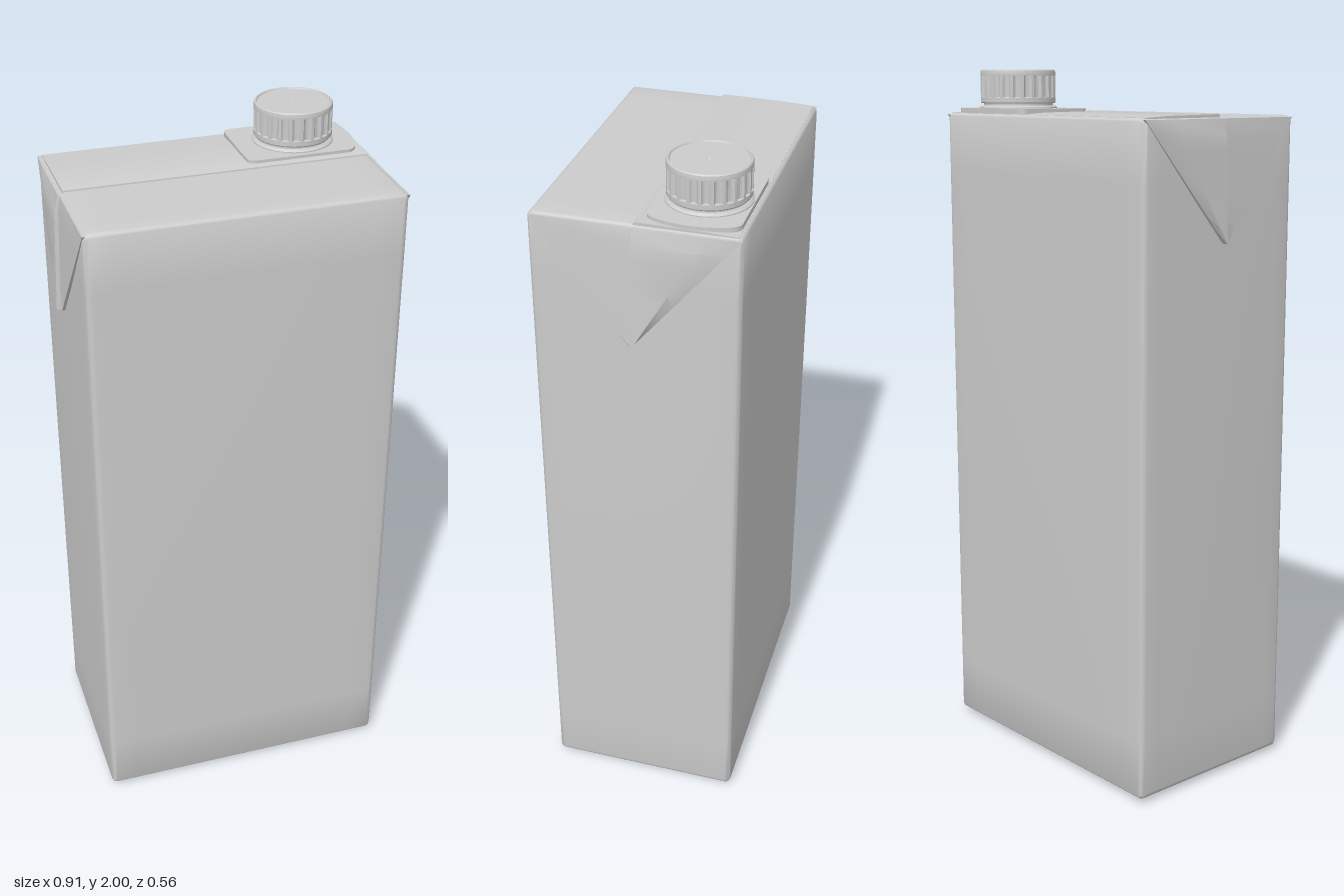
import * as THREE from 'three';
import { mergeVertices, toCreasedNormals } from 'three/addons/utils/BufferGeometryUtils.js';
import { ConvexGeometry } from 'three/addons/geometries/ConvexGeometry.js';

const HX = 0.43, HZ = 0.275, BOTTOM = 0.012, TOP = 1.878;
const CAP_X = 0.257, CAP_Z = -0.145;
const mat = new THREE.MeshStandardMaterial({ color: 0xcccccc, roughness: 0.7 });

function add(parent, name, geometry, x = 0, y = 0, z = 0) {
  const mesh = new THREE.Mesh(geometry, mat);
  mesh.name = name;
  mesh.position.set(x, y, z);
  parent.add(mesh);
  return mesh;
}

// Join closed rings of equal length into a solid with fan caps at both ends
function loft(rings, crease) {
  const n = rings[0].length, index = [];
  for (let r = 0; r < rings.length - 1; r++) {
    for (let i = 0; i < n; i++) {
      const a = r * n + i, b = r * n + (i + 1) % n;
      index.push(a, b, a + n, b, b + n, a + n);
    }
  }
  const last = (rings.length - 1) * n;
  for (let i = 1; i < n - 1; i++) {
    index.push(0, i + 1, i, last, last + i, last + i + 1);
  }
  const g = new THREE.BufferGeometry();
  g.setAttribute('position', new THREE.Float32BufferAttribute(rings.flat(2), 3));
  g.setIndex(index);
  return toCreasedNormals(g, crease);
}

// Box with small rounded edges and softly bulging walls
function cartonGeometry() {
  const h = [HX, (TOP - BOTTOM) / 2, HZ], r = 0.016;
  let g = new THREE.BoxGeometry(2, 2, 2, 16, 16, 16);
  g.deleteAttribute('normal');
  g.deleteAttribute('uv');
  g = mergeVertices(g);
  const pos = g.attributes.position;
  for (let i = 0; i < pos.count; i++) {
    const u = [pos.getX(i), pos.getY(i), pos.getZ(i)];
    const core = u.map((c, k) => THREE.MathUtils.clamp(c / 0.75, -1, 1) * (h[k] - r));
    const d = new THREE.Vector3(...u.map((c) => {
      const over = Math.max(0, Math.abs(c) - 0.75) / 0.25;
      return Math.sign(c) * Math.tan(over * Math.PI / 4);
    })).normalize().multiplyScalar(r);
    const p = [core[0] + d.x, core[1] + d.y, core[2] + d.z];
    const c = p.map((v, k) => Math.cos(Math.PI / 2 * v / h[k]));
    p[0] += 0.006 * p[0] / h[0] * c[1] * c[2];
    p[2] += 0.005 * p[2] / h[2] * c[0] * c[1];
    pos.setXYZ(i, p[0], p[1] + (TOP + BOTTOM) / 2, p[2]);
  }
  return toCreasedNormals(g, 0.7);
}

// Triangular ear folded down on a side wall, doubled on its back half
function earGeometry(s) {
  const rings = [];
  for (let i = 0; i <= 8; i++) {
    const t = i / 8;
    const lift = 0.012 * (1 - t);
    const bulge = t > 0.95 ? 0.3 : 1;
    const zf = 0.012 + 0.258 * t, zb = 0.004 - 0.276 * t, zs = 0.006;
    const y = 1.545 + (TOP - 0.005 - 1.545) * t;
    const ring = [
      [HX - 0.006 + lift, zf],
      [HX + 0.002 + lift, zf],
      [HX + 0.005 * bulge + lift, zs],
      [HX + 0.015 * bulge + lift, zs - 0.003],
      [HX + 0.014 * bulge + lift, zb * 0.7],
      [HX + 0.002 + lift, zb],
      [HX - 0.006 + lift, zb],
    ].map(([x, z]) => [s * x, y, z]);
    rings.push(s > 0 ? ring : ring.reverse());
  }
  return loft(rings, 0.4);
}

// Rounded foot plate of the spout, with a bowed outer end
function plateGeometry() {
  const s = new THREE.Shape();
  s.moveTo(0.115, 0.02);
  s.lineTo(0.375, 0.02);
  s.quadraticCurveTo(0.397, 0.022, 0.408, 0.06);
  s.quadraticCurveTo(0.432, 0.14, 0.408, 0.22);
  s.quadraticCurveTo(0.397, 0.258, 0.375, 0.26);
  s.lineTo(0.115, 0.26);
  s.quadraticCurveTo(0.09, 0.26, 0.09, 0.235);
  s.lineTo(0.09, 0.045);
  s.quadraticCurveTo(0.09, 0.02, 0.115, 0.02);
  const g = new THREE.ExtrudeGeometry(s, { depth: 0.017, bevelEnabled: false, curveSegments: 8 });
  g.rotateX(-Math.PI / 2);
  return toCreasedNormals(g, 0.5);
}

// Fluted ring for the cap grip
function gripGeometry() {
  const s = new THREE.Shape(), ribs = 22, steps = 8, n = ribs * steps;
  for (let i = 0; i < n; i++) {
    const a = i / n * Math.PI * 2, k = i % steps;
    const r = k < 3 ? 0.108 : (k === 3 || k === 7 ? 0.103 : 0.101);
    const x = r * Math.cos(a), y = r * Math.sin(a);
    if (i) s.lineTo(x, y); else s.moveTo(x, y);
  }
  s.closePath();
  const g = new THREE.ExtrudeGeometry(s, { depth: 0.064, bevelEnabled: false });
  g.rotateX(-Math.PI / 2);
  return g;
}

function lathe(points) {
  const g = new THREE.LatheGeometry(points.map(([x, y]) => new THREE.Vector2(x, y)), 64);
  return toCreasedNormals(g, 0.5);
}

export function createModel() {
  const model = new THREE.Group();
  model.name = 'drinkCarton';
  add(model, 'cartonBody', cartonGeometry());

  // Sealed top fin lying flat toward the back, thinning to the rear edge
  const fin = [-HX + 0.008, HX - 0.008].map((x) => [
    [x, TOP - 0.004, 0.002], [x, TOP + 0.004, 0.001], [x, TOP + 0.006, -0.004],
    [x, TOP + 0.004, -0.18], [x, TOP, -HZ + 0.012], [x, TOP - 0.004, -HZ + 0.012],
  ]);
  add(model, 'topSeam', loft(fin.map((r) => r.reverse()), 0.4));

  for (const s of [1, -1]) {
    const side = s > 0 ? 'left' : 'right';
    add(model, side + 'Ear', earGeometry(s));
    // Triangular bottom flap, lowest at its inner tip
    const flap = [];
    for (const e of [1, -1]) {
      flap.push(
        new THREE.Vector3(s * (HX - 0.015), 0.011, e * (HZ - 0.015)),
        new THREE.Vector3(s * (HX - 0.015), 0.018, e * (HZ - 0.015)),
        new THREE.Vector3(s * 0.13, 0, e * 0.012),
        new THREE.Vector3(s * 0.13, 0.018, e * 0.012));
    }
    add(model, side + 'BottomFlap', new ConvexGeometry(flap));
  }
  add(model, 'bottomSeam', new THREE.BoxGeometry(0.27, 0.012, 0.03), 0, 0.011, 0);

  // Screw cap on its plate
  const spout = new THREE.Group();
  spout.name = 'spout';
  model.add(spout);
  add(spout, 'spoutPlate', plateGeometry(), 0, 1.875, 0);
  add(spout, 'spoutNeck', lathe([
    [0, 1.88], [0.112, 1.88], [0.112, 1.895], [0.106, 1.9], [0.1, 1.9], [0.1, 1.906],
    [0.106, 1.906], [0.108, 1.909], [0.108, 1.922], [0.1, 1.924], [0, 1.924],
  ]), CAP_X, 0, CAP_Z);
  add(spout, 'capGrip', gripGeometry(), CAP_X, 1.922, CAP_Z);
  add(spout, 'capTop', lathe([
    [0, 1.984], [0.108, 1.984], [0.1085, 1.99], [0.107, 1.997], [0.104, 2], [0.101, 2],
    [0.099, 1.996], [0.006, 1.996], [0.004, 1.998], [0, 1.998],
  ]), CAP_X, 0, CAP_Z);
  return model;
}
